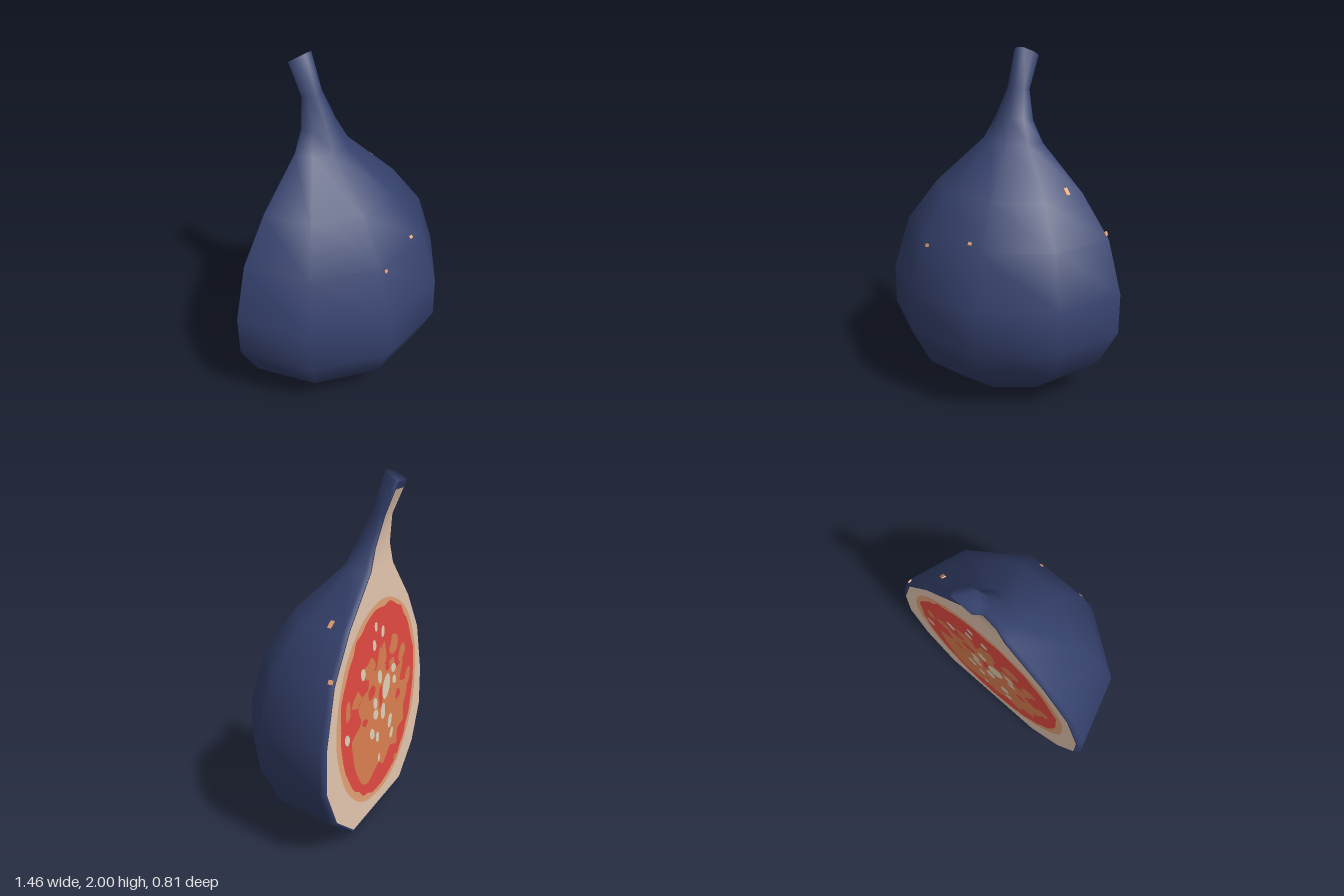
import * as THREE from 'three';

const mat = (name, color) => {
  const m = new THREE.MeshStandardMaterial({ color });
  m.name = name;
  return m;
};

// Levels from base to stem tip: [back y, front y, half width, back z, front z]
const levels = [
  [0.05, 0.05, 0.39, -0.30, 0.09],
  [0.22, 0.22, 0.61, -0.30, 0.30],
  [0.44, 0.44, 0.73, -0.30, 0.41],
  [0.68, 0.68, 0.73, -0.30, 0.41],
  [0.99, 0.99, 0.64, -0.30, 0.32],
  [1.23, 1.23, 0.46, -0.30, 0.16],
  [1.48, 1.49, 0.19, -0.30, -0.11],
  [1.60, 1.62, 0.12, -0.30, -0.17],
  [1.765, 1.79, 0.07, -0.33, -0.25],
  [1.945, 2.0, 0.08, -0.405, -0.32],
];
const bevel = w => (w > 0.15 ? 0.03 : 0.015);

// Half-round cross-section running from +x, round the front, to -x
function ring([yb, yf, w, zb, zf]) {
  const d = zf - zb;
  const half = [[w - bevel(w), 0], [w, 0.02 / Math.max(d, 0.1)], [w * 0.82, 0.62], [w * 0.31, 1]];
  const side = s => half.map(([x, t]) => [s * x, yb + (yf - yb) * t, zb + d * t]);
  return [...side(1), ...side(-1).reverse()];
}

function geometry(points, index) {
  const g = new THREE.BufferGeometry();
  g.setAttribute('position', new THREE.Float32BufferAttribute(points.flat(), 3));
  g.setIndex(index);
  g.computeVertexNormals();
  return g;
}

// Skin wall, base fan and stem end, all smooth
function skinGeometry() {
  const rings = levels.map(ring), n = rings[0].length, index = [];
  for (let i = 0; i < rings.length - 1; i++) {
    for (let j = 0; j < n - 1; j++) {
      const a = i * n + j, b = a + 1, c = b + n, d = a + n;
      index.push(a, c, b, a, d, c);
    }
  }
  const base = rings.length * n, top = base - n;
  for (let j = 0; j < n; j++) index.push(base, j, (j + 1) % n);
  for (let j = 1; j < n - 1; j++) index.push(top, top + j + 1, top + j);
  return geometry([...rings.flat(), [0, 0.005, -0.27]], index);
}

// Strip facing -z, from rows of [y, half width, z]
function cutStrip(rows) {
  const index = [];
  for (let i = 0; i < rows.length - 1; i++) {
    const a = 2 * i;
    index.push(a, a + 1, a + 3, a, a + 3, a + 2);
  }
  return geometry(rows.flatMap(([y, w, z]) => [[w, y, z], [-w, y, z]]), index);
}

let seed = 7;
const random = () => (seed = (seed * 16807) % 2147483647) / 2147483647;

// Wobbly rounded outline, facing -z
function blob(x, y, rx, ry, z, n = 10, wobble = 0, turn = 0) {
  const pts = [];
  for (let i = 0; i < n; i++) {
    const a = (i / n) * Math.PI * 2, r = 1 + (random() * 2 - 1) * wobble;
    const u = Math.cos(a) * rx * r, v = Math.sin(a) * ry * r;
    pts.push(new THREE.Vector3(
      -x + u * Math.cos(turn) - v * Math.sin(turn),
      y + u * Math.sin(turn) + v * Math.cos(turn), 0));
  }
  const outline = new THREE.CatmullRomCurve3(pts, true).getPoints(n * 3).slice(0, -1);
  const g = new THREE.ShapeGeometry(new THREE.Shape(outline.map(p => new THREE.Vector2(p.x, p.y))));
  g.rotateY(Math.PI);
  g.translate(0, 0, z);
  return g;
}

export function createModel() {
  const group = new THREE.Group();
  group.name = 'halvedFig';
  const skin = mat('skin blue', 0x36426e);
  const flesh = mat('flesh cream', 0xf0d2ba);
  const rind = mat('inner rind tan', 0xeaa678);
  const pulp = mat('pulp red', 0xe84c43);
  const core = mat('core orange', 0xe08252);
  const seedMat = mat('seed beige', 0xe6d6bc);
  const add = (name, geo, material) => {
    const mesh = new THREE.Mesh(geo, material);
    mesh.name = name;
    group.add(mesh);
    return mesh;
  };

  // Outer skin and the thin rim of peel round the cut
  add('skin', skinGeometry(), skin);
  add('peelRim', cutStrip(levels.map(([y, , w, z]) => [y, w - bevel(w), z])), skin);

  // Pale flesh, stopping short of the stem tip
  const fleshRows = levels.slice(0, -1).map(([y, , w, z]) => [y, w - bevel(w) - 0.004, z - 0.003]);
  fleshRows[0][0] = 0.06;
  fleshRows.push([1.905, 0.058, -0.391]);
  add('flesh', cutStrip(fleshRows), flesh);

  // Pulp layers
  add('innerRind', blob(0, 0.715, 0.59, 0.585, -0.305, 30, 0.008), rind);
  add('pulp', blob(0, 0.72, 0.545, 0.55, -0.307, 50, 0.025), pulp);
  add('core', blob(-0.02, 0.61, 0.36, 0.36, -0.309, 30, 0.2), core);
  const islands = [[0.34, 0.82, 0.06, 0.045], [0.17, 0.95, 0.07, 0.05], [-0.19, 1.0, 0.07, 0.06],
    [-0.02, 0.98, 0.06, 0.06], [-0.32, 0.9, 0.05, 0.05], [-0.44, 0.72, 0.04, 0.05], [0.45, 0.8, 0.03, 0.05],
    [-0.26, 0.24, 0.025, 0.025]];
  for (const [x, y, rx, ry] of islands) add('coreFleck', blob(x, y, rx, ry, -0.309, 9, 0.25), core);
  const patches = [[0.14, 0.8, 0.05, 0.04], [-0.09, 0.9, 0.03, 0.05], [0.01, 0.73, 0.025, 0.06],
    [0.24, 0.66, 0.04, 0.025], [-0.27, 0.66, 0.04, 0.03]];
  for (const [x, y, rx, ry] of patches) add('pulpPatch', blob(x, y, rx, ry, -0.311, 9, 0.25), pulp);

  // Seeds: x, y, half length, turn
  const seeds = [[0.03, 0.86, 0.045, 0.5], [-0.07, 0.77, 0.08, -0.35], [0.09, 0.72, 0.04, 0.6],
    [-0.18, 0.85, 0.04, 1.2], [-0.2, 0.77, 0.035, 1.0], [0.13, 0.55, 0.04, 0.8], [0.05, 0.5, 0.035, 0.3],
    [0.08, 0.65, 0.04, 0.9], [-0.03, 0.63, 0.05, 0.1], [-0.14, 0.53, 0.045, -0.3], [-0.17, 0.44, 0.035, -0.4],
    [0.02, 0.36, 0.025, 0], [0.12, 1.07, 0.035, 0.5], [0, 1.12, 0.035, 0.2], [0.1, 1.17, 0.03, 0.4],
    [0.27, 0.95, 0.04, 0.6], [0.47, 0.65, 0.038, 0.8]];
  for (const [x, y, r, turn] of seeds) add('seed', blob(x, y, r * 0.68, r, -0.313, 8, 0.06, turn), seedMat);

  // Tiny pale specks on the skin: position, outward direction, width, height
  const specks = [
    [[-0.17, 0.96, 0.329], [0, 0.28, 1], 0.022, 0.018],
    [[0.11, 1.02, 0.3], [0, 0.8, 1], 0.022, 0.018],
    [[0.617, 1.02, -0.285], [0.9, 0.4, 0], 0.024, 0.024],
    [[0.411, 1.25, -0.19], [0.95, 0.9, 0.3], 0.025, 0.045],
  ];
  for (const [p, out, w, h] of specks) {
    const speck = add('skinSpeck', new THREE.BoxGeometry(w, h, 0.008), rind);
    speck.position.set(...p);
    speck.lookAt(p[0] + out[0], p[1] + out[1], p[2] + out[2]);
  }

  return group;
}
